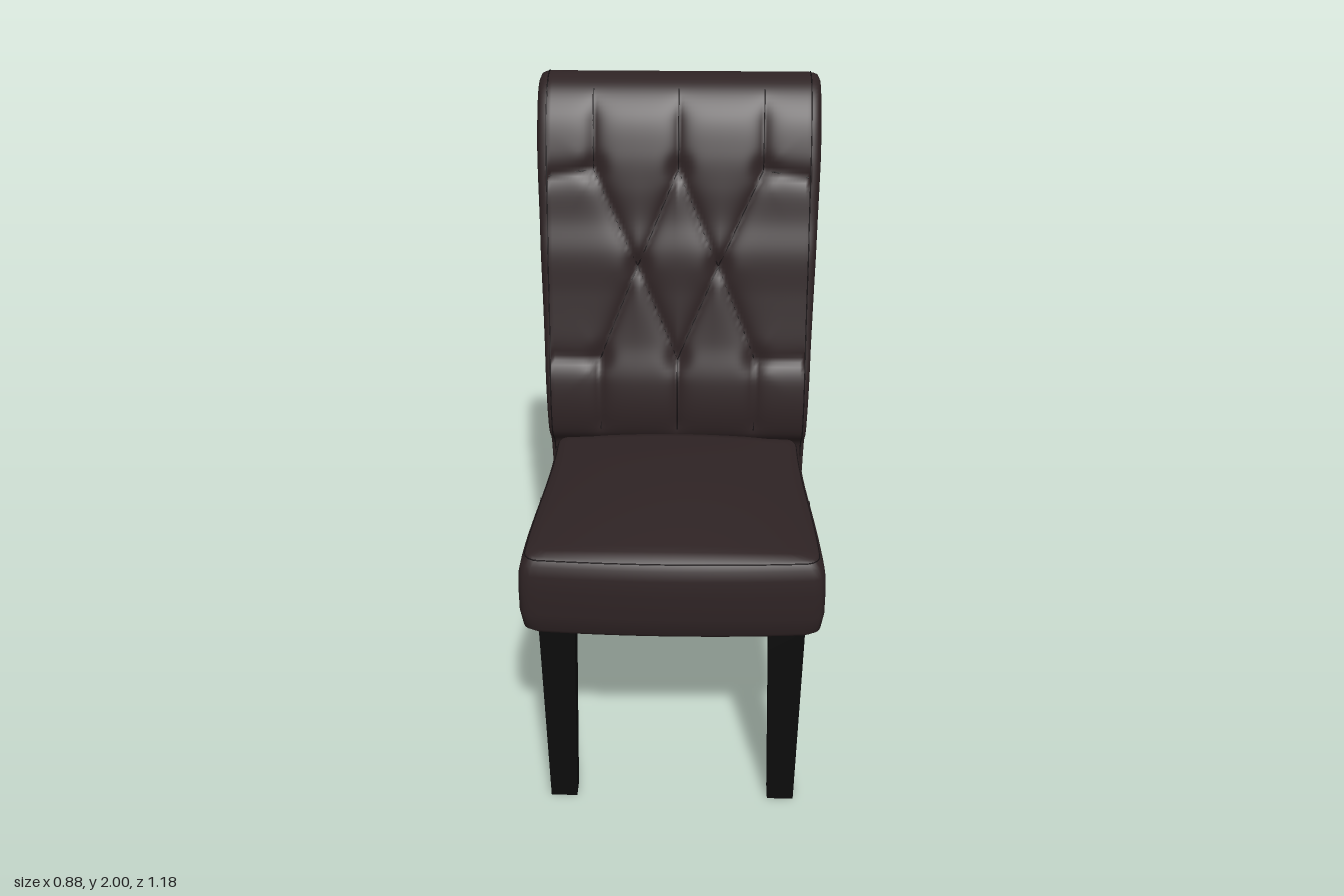
import * as THREE from 'three';
import { toCreasedNormals } from 'three/addons/utils/BufferGeometryUtils.js';

const material = (name, color) => Object.assign(new THREE.MeshStandardMaterial({ color }), { name });
const { lerp, clamp, smoothstep } = THREE.MathUtils;

// Skins a list of equal-length closed rings of points
function loft(rings) {
  const n = rings[0].length, index = [];
  for (let i = 0; i < rings.length - 1; i++) {
    for (let j = 0; j < n; j++) {
      const k = (j + 1) % n, a = i * n + j, b = a + n, c = (i + 1) * n + k, d = i * n + k;
      index.push(a, b, c, a, c, d);
    }
  }
  const geo = new THREE.BufferGeometry().setFromPoints(rings.flat());
  geo.setIndex(index);
  geo.computeVertexNormals();
  return geo;
}

// Side outline of the scrolled back as [z, y], up the front and down the rear
const OUTLINE = [
  [-.19, .65], [-.19, .75], [-.185, .86], [-.135, .91], [-.12, .97], [-.13, 1.1], [-.165, 1.22],
  [-.195, 1.37], [-.215, 1.5], [-.245, 1.6], [-.265, 1.7], [-.29, 1.8], [-.335, 1.91], [-.4, 1.98],
  [-.48, 2], [-.55, 1.965], [-.588, 1.89], [-.575, 1.81], [-.52, 1.762], [-.47, 1.752], [-.463, 1.7],
  [-.43, 1.5], [-.38, 1.25], [-.345, 1], [-.325, .8], [-.31, .66], [-.295, .635], [-.205, .635],
];
const SPINE = [[-.25, .7], [-.24, 1], [-.29, 1.3], [-.335, 1.55], [-.39, 1.75], [-.47, 1.88]];

const curve = (pts, closed) => new THREE.CatmullRomCurve3(
  pts.map(([z, y]) => new THREE.Vector3(0, y, z)), closed, 'centripetal');

// Tufting seams on the front of the back, as [x1, y1, x2, y2] for the +x half
const HALF_SEAMS = [
  [0, 1.97, 0, 1.75], [.26, 1.97, .26, 1.75], [.26, 1.75, .398, 1.73],
  [0, 1.75, .125, 1.46], [.26, 1.75, .125, 1.46], [.125, 1.46, 0, 1.17], [.125, 1.46, .245, 1.17],
  [.245, 1.17, .398, 1.175], [0, 1.17, 0, .93], [.245, 1.17, .245, .93],
];
const SEAMS = HALF_SEAMS.flatMap(([a, b, c, d]) =>
  a === 0 && c === 0 ? [[a, b, c, d]] : [[a, b, c, d], [-a, b, -c, d]]);
const TUFTS = [[0, 1.75], [.26, 1.75], [-.26, 1.75], [.125, 1.46], [-.125, 1.46], [0, 1.17], [.245, 1.17], [-.245, 1.17]];

function seamDistance(x, y) {
  return Math.min(...SEAMS.map(([x1, y1, x2, y2]) => {
    const dx = x2 - x1, dy = y2 - y1;
    const t = clamp(((x - x1) * dx + (y - y1) * dy) / (dx * dx + dy * dy), 0, 1);
    return Math.hypot(x - x1 - t * dx, y - y1 - t * dy);
  }));
}

const profile = curve(OUTLINE, true).getSpacedPoints(200).slice(0, -1);
const normals = profile.map((p, j) => {
  const a = profile[(j + 198 + 1) % 200], b = profile[(j + 1) % 200];
  return new THREE.Vector3(0, a.z - b.z, b.y - a.y).normalize();
});

// A point on the upholstered back, sunk along the seams
function backPoint(x, p, n) {
  const front = Math.max(0, n.z) * smoothstep(p.y, .9, .96) * (1 - smoothstep(p.y, 1.88, 1.97));
  const rear = Math.max(0, -n.z) * (1 - smoothstep(p.y, 1.64, 1.74));
  let sink = 0;
  if (front > 0) {
    sink += front * .016 * Math.exp(-seamDistance(x, p.y) / .025);
    for (const [tx, ty] of TUFTS) {
      sink += front * .014 * Math.exp(-((x - tx) ** 2 + (p.y - ty) ** 2) / .0012);
    }
  }
  if (rear > 0) {
    const d = Math.min(Math.abs(x), Math.abs(Math.abs(x) - .2));
    sink += rear * .014 * Math.exp(-d / .03);
  }
  return new THREE.Vector3(x, p.y - n.y * sink, p.z - n.z * sink);
}

function backGeometry() {
  const spine = curve(SPINE, false).getSpacedPoints(120);
  const nearest = profile.map(p => spine.reduce((a, b) => (p.distanceToSquared(b) < p.distanceToSquared(a) ? b : a)));
  // Cushioned ends: [outward bulge, pull towards the spine]
  const ends = [[0, .015], [.25, .015], [.65, .06], [.9, .2], [1, .45], [1, 1]];
  const end = side => ends.map(([b, f]) => profile.map((p, j) => {
    const v = p.clone().lerp(nearest[j], f);
    v.x = side * (.402 + b * lerp(.01, .033, clamp((p.y - .7) / 1.1, 0, 1)));
    return v;
  }));
  const rows = [];
  for (let i = 0; i <= 80; i++) {
    const x = lerp(-.398, .398, i / 80);
    rows.push(profile.map((p, j) => backPoint(x, p, normals[j])));
  }
  return loft([...end(-1).reverse(), ...rows, ...end(1)]);
}

// Point on the front of the back at a given x and height
function frontPoint(x, y) {
  let j = 10;
  while (profile[j + 1].y < y && j < 98) j++;
  const t = clamp((y - profile[j].y) / (profile[j + 1].y - profile[j].y), 0, 1);
  return backPoint(x, profile[j].clone().lerp(profile[j + 1], t), normals[j]);
}

// Rounded, tapered outline of the seat at one level
function seatRing(y, inset, scale = 1, crown = 0) {
  const hx = .44 - inset, hz = .378 - inset, r = .035, pts = [];
  const sides = [[1, 0, 0, 1], [0, 1, -1, 0], [-1, 0, 0, -1], [0, -1, 1, 0]];
  for (const [nx, nz, tx, tz] of sides) {
    for (let i = 0; i < 24; i++) {
      const u = Math.sin((i / 12 - 1) * Math.PI / 2);
      let x = (nx + tx * u) * hx, z = (nz + tz * u) * hz;
      const cx = clamp(x, r - hx, hx - r), cz = clamp(z, r - hz, hz - r);
      const d = Math.hypot(x - cx, z - cz);
      if (d > r) { x = cx + (x - cx) * r / d; z = cz + (z - cz) * r / d; }
      x *= scale; z *= scale;
      if (z > 0) z += .02 * (1 - (x / .44) ** 2) * z / .378;
      z += .19;
      const taper = lerp(.915, 1, smoothstep(z, -.1, .55));
      const rise = crown * (1 - (x / .42) ** 2) * Math.max(0, 1 - ((z - .13) / .46) ** 2);
      pts.push(new THREE.Vector3(x * taper, y + Math.max(0, rise), z));
    }
  }
  return pts;
}

function seatGeometry() {
  const walls = [[.628, .05], [.626, .025], [.645, .008], [.7, 0], [.78, 0], [.83, .003], [.86, .01], [.876, .02], [.886, .026]];
  const rings = [seatRing(.628, .05, 0), ...walls.map(([y, inset]) => seatRing(y, inset))];
  for (let i = 1; i <= 14; i++) rings.push(seatRing(.888, .026, 1 - i / 14, .043));
  return loft(rings);
}

// Leg from cross-sections [y, zFront, zRear, xInner, xOuter]
function legGeometry(sections, side) {
  const steps = 10, geo = new THREE.BoxGeometry(1, 1, 1, 1, steps, 1), pos = geo.attributes.position;
  const spline = k => new THREE.CatmullRomCurve3(sections.map(s => new THREE.Vector3(s[0], s[k], s[k + 1])));
  const depth = spline(1), width = spline(3);
  for (let i = 0; i < pos.count; i++) {
    const t = pos.getY(i) + .5, d = depth.getPoint(t), w = width.getPoint(t);
    const outer = pos.getX(i) * side > 0;
    pos.setXYZ(i, side * (outer ? w.z : w.y), d.x, pos.getZ(i) > 0 ? d.y : d.z);
  }
  return toCreasedNormals(geo, .6);
}

export function createModel() {
  const model = new THREE.Group();
  model.name = 'diningChair';
  const fabric = material('darkBrownUpholstery', 0x2e2324);
  const thread = material('darkSeam', 0x161113);
  const wood = material('blackWood', 0x0c0c0c);
  const lining = material('oliveLining', 0x352c1b);
  const add = (name, geo, mat) => {
    const mesh = new THREE.Mesh(geo, mat);
    mesh.name = name;
    model.add(mesh);
  };
  const seam = (name, pts, closed = false, radius = .0025) => add(name, new THREE.TubeGeometry(
    new THREE.CatmullRomCurve3(pts, closed), pts.length * 2, radius, 5, closed), thread);

  add('back', backGeometry(), fabric);
  add('seat', seatGeometry(), fabric);

  // Tufting seams
  for (const [x1, y1, x2, y2] of SEAMS) {
    seam('tuftingSeam', Array.from({ length: 13 }, (_, i) => frontPoint(lerp(x1, x2, i / 12), lerp(y1, y2, i / 12))));
  }
  // Vertical seams down the rear of the back
  const rear = profile.map((p, j) => j).filter(j => normals[j].z < -.8 && profile[j].y > .67 && profile[j].y < 1.72);
  for (const x of [-.2, 0, .2]) seam('rearSeam', rear.map(j => backPoint(x, profile[j], normals[j])), false, .002);
  // Edge seams of the back
  for (const side of [-1, 1]) {
    seam('edgeSeam', profile.filter((p, j) => j % 2 === 0).map(p => new THREE.Vector3(side * .402, p.y, p.z)), true, .002);
  }
  // Seams of the seat
  seam('seatTopSeam', seatRing(.876, .021), true);
  for (const side of [-1, 1]) {
    seam('seatSideSeam', [[.64, .409], [.7, .417], [.78, .417], [.86, .408]].map(([y, x]) => new THREE.Vector3(side * x, y, .18)), false, .003);
  }

  // Lining under the seat
  const panel = new THREE.Shape([[-.35, -.16], [.35, -.16], [.37, .53], [-.37, .53]].map(p => new THREE.Vector2(...p)));
  const panelGeo = new THREE.ExtrudeGeometry(panel, { depth: .006, bevelEnabled: false });
  panelGeo.rotateX(Math.PI / 2).translate(0, .629, 0);
  add('seatLining', panelGeo, lining);

  // Legs
  for (const side of [-1, 1]) {
    add('frontLeg', legGeometry([[0, .545, .485, .295, .375], [.64, .545, .458, .282, .387]], side), wood);
    add('rearLeg', legGeometry([
      [0, -.302, -.362, .295, .375], [.2, -.255, -.322, .292, .378],
      [.42, -.222, -.294, .288, .382], [.65, -.208, -.282, .283, .386]], side), wood);
  }
  return model;
}
